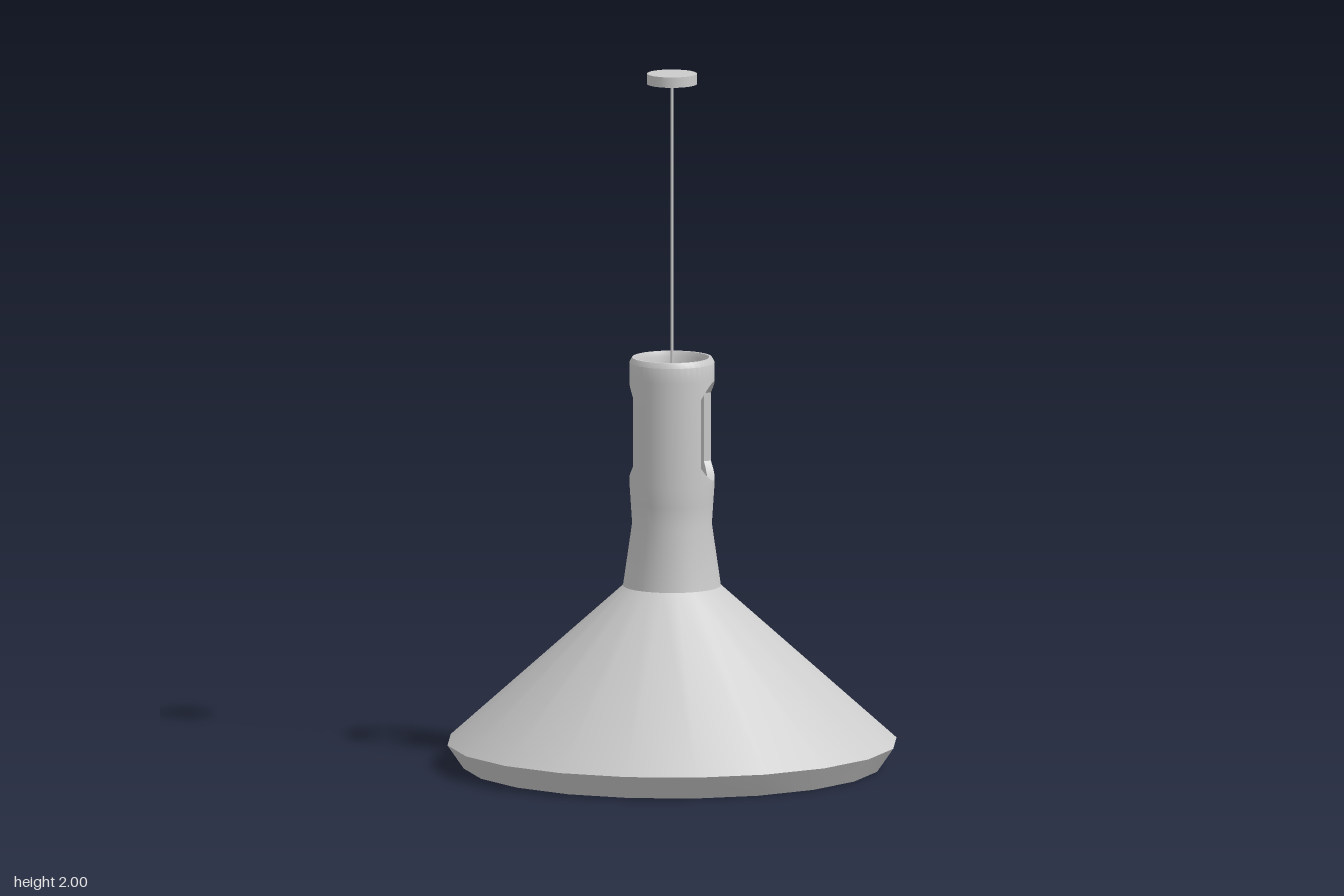
import * as THREE from 'three';
import { mergeGeometries, toCreasedNormals } from 'three/addons/utils/BufferGeometryUtils.js';

const OUTER = 0.122, INNER = 0.1;      // tube radii
const SILL = 0.82, LINTEL = 1.12;      // the windowed band of the tube
const STEP = Math.PI / 20;             // one tube column
const CREASE = 0.5;

const material = new THREE.MeshStandardMaterial({ color: 0xcccccc, side: THREE.DoubleSide });

function mesh(name, geometry) {
  const m = new THREE.Mesh(geometry, material);
  m.name = name;
  return m;
}

// Closed profile [radius, y] turned about the y axis, positions only
function turned(profile, segments) {
  const points = [...profile, profile[0]].map(([r, y]) => new THREE.Vector2(r, y));
  const g = new THREE.LatheGeometry(points, segments).toNonIndexed();
  g.deleteAttribute('uv');
  g.deleteAttribute('normal');
  return g;
}

// Solid piece of tube wall from column i0 to i1, with bottom and top heights given per column
function wallArc(i0, i1, bottom, top) {
  const positions = [];
  const section = (i) => {
    const a = i * STEP, s = Math.sin(a), c = Math.cos(a);
    return [[OUTER, bottom(i)], [OUTER, top(i)], [INNER, top(i)], [INNER, bottom(i)]]
      .map(([r, y]) => [r * s, y, r * c]);
  };
  const quad = (a, b, c, d) => positions.push(...a, ...b, ...c, ...a, ...c, ...d);
  for (let i = i0; i < i1; i++) {
    const p = section(i), q = section(i + 1);
    for (let k = 0; k < 4; k++) {
      const n = (k + 1) % 4;
      quad(p[k], q[k], q[n], p[n]);
    }
  }
  quad(...section(i0));
  quad(...section(i1).reverse());
  const g = new THREE.BufferGeometry();
  g.setAttribute('position', new THREE.Float32BufferAttribute(positions, 3));
  return g;
}

function neckGeometry() {
  // Flared lower neck and the rounded collar above the windows
  const parts = [
    turned([[0.14, 0.52], [0.114, 0.7], [0.118, 0.76], [OUTER, SILL], [INNER, SILL], [INNER, 0.7], [0.122, 0.52]], 40),
    turned([[OUTER, LINTEL], [OUTER, 1.165], [0.114, 1.18], [0.106, 1.18], [INNER, 1.165], [INNER, LINTEL]], 40),
  ];
  // Two pillars, and two arched windows facing +x and -x
  for (const side of [0, 20]) {
    const centre = side + 10;
    const arch = (i) => 0.045 * ((i - centre) / 4) ** 2;
    parts.push(
      wallArc(side - 6, side + 6, () => SILL, () => LINTEL),
      wallArc(centre - 4, centre + 4, () => SILL, (i) => 0.827 + arch(i)),
      wallArc(centre - 4, centre + 4, (i) => 1.114 - arch(i), () => LINTEL),
    );
  }
  return toCreasedNormals(mergeGeometries(parts), CREASE);
}

export function createModel() {
  const lamp = new THREE.Group();
  lamp.name = 'pendantLamp';

  // Thin twenty-sided shade with an inward-turned rim
  const shade = turned([
    [0.598, 0], [0.645, 0.068], [0.14, 0.52],
    [0.122, 0.52], [0.627, 0.07], [0.585, 0],
  ], 20);
  lamp.add(mesh('shade', toCreasedNormals(shade, CREASE)));

  lamp.add(mesh('neck', neckGeometry()));

  // Cord hanging from the ceiling cap into the neck
  const cord = mesh('cord', new THREE.CylinderGeometry(0.004, 0.004, 1.2, 8));
  cord.position.y = 1.38;
  lamp.add(cord);

  const cap = mesh('ceilingCap', new THREE.CylinderGeometry(0.072, 0.072, 0.03, 20));
  cap.position.y = 1.985;
  lamp.add(cap);

  return lamp;
}
